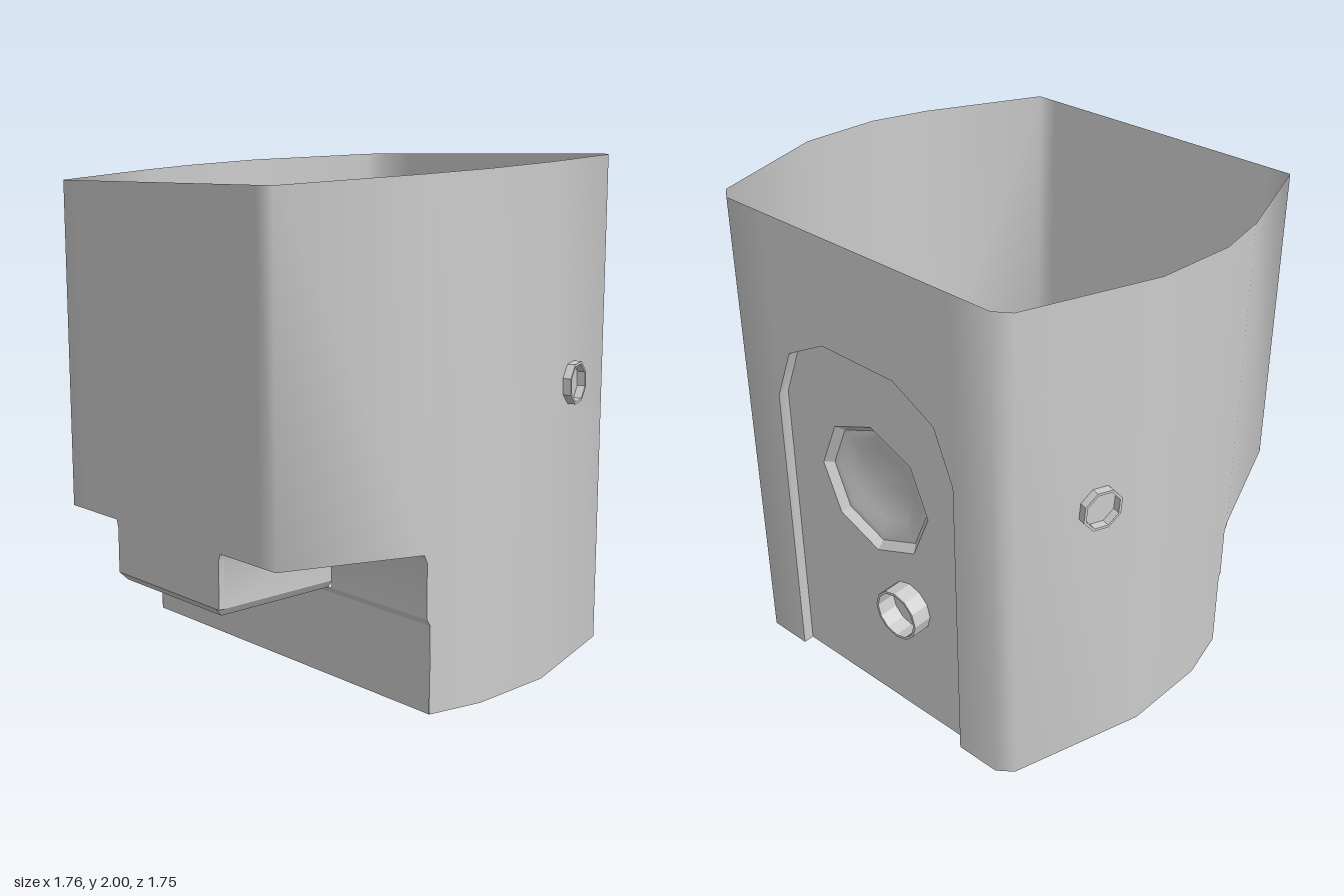
import * as THREE from 'three';
import { toCreasedNormals } from 'three/addons/utils/BufferGeometryUtils.js';

const mat = new THREE.MeshStandardMaterial({ color: 0xcccccc, side: THREE.DoubleSide });

function mesh(name, geometry) {
  const m = new THREE.Mesh(geometry, mat);
  m.name = name;
  return m;
}

// Thin sheet stretched between rows of points, all rows the same length
function sheet(rows, crease = 0.5) {
  const pos = [];
  for (let r = 0; r + 1 < rows.length; r++) {
    for (let i = 0; i + 1 < rows[r].length; i++) {
      const a = rows[r][i], b = rows[r][i + 1], c = rows[r + 1][i + 1], d = rows[r + 1][i];
      pos.push(...a, ...b, ...c, ...a, ...c, ...d);
    }
  }
  const g = new THREE.BufferGeometry();
  g.setAttribute('position', new THREE.Float32BufferAttribute(pos, 3));
  return toCreasedNormals(g, crease);
}

// Flat panel from 2D points
function panel(points, holes = []) {
  const s = new THREE.Shape(points.map(p => new THREE.Vector2(...p)));
  for (const [x, y, r, n] of holes) {
    const pts = [];
    for (let i = 0; i < n; i++) {
      const a = -i / n * Math.PI * 2;
      pts.push(new THREE.Vector2(x + r * Math.cos(a), y + r * Math.sin(a)));
    }
    s.holes.push(new THREE.Path(pts));
  }
  return new THREE.ShapeGeometry(s);
}

// Turned part whose axis points along dir; the profile is [radius, distance along axis]
function turned(name, profile, segments, position, dir) {
  const g = toCreasedNormals(
    new THREE.LatheGeometry(profile.map(p => new THREE.Vector2(...p)), segments), 0.5);
  const m = mesh(name, g);
  m.position.set(...position);
  m.quaternion.setFromUnitVectors(new THREE.Vector3(0, 1, 0), new THREE.Vector3(...dir).normalize());
  return m;
}

const mirrorRow = half => [...half, ...half.slice(0, -1).reverse().map(([x, ...rest]) => [-x, ...rest])];
const topY = z => z > -0.2 ? 1.9 + 0.07 * (0.875 - z) / 1.075 : 1.97 + 0.03 * (-0.2 - z) / 0.645;

const FRONT = 0.875, BACK = -0.845, PLATE = -0.8;
const ARCH = [[0.455, 0], [0.455, 1.24], [0.37, 1.455], [0.18, 1.56], [0, 1.56]];

export function createModel() {
  const model = new THREE.Group();

  // Outer wall: columns [x, z, bottom y] from front centre round to back centre
  const half = [
    [0, FRONT, 0.39], [0.32, FRONT, 0.39], [0.32, FRONT, 0.57], [0.33, FRONT, 0.6],
    [0.55, FRONT, 0.6], [0.64, FRONT, 0.6],
    [0.828, 0.35, 0.6], [0.83, 0.335, 0.57], [0.83, 0.335, 0.36], [0.833, 0.32, 0.335], [0.833, 0.32, 0],
    [0.88, 0.1, 0], [0.87, -0.26, 0], [0.7, -0.8, 0], [0.64, BACK, 0],
    ...ARCH.map(([x, y]) => [x, BACK, y]),
  ];
  const loop = mirrorRow(half.slice().reverse());
  const top = loop.map(([x, z]) => [x, topY(z), z]);
  const bottom = loop.map(([x, z, y]) => [x, y, z]);
  model.add(mesh('outerWall', sheet([bottom, top], 1.3)));

  // Base floor, notched for the back recess
  const base = [[0.833, 0.32], [0.88, 0.1], [0.87, -0.26], [0.7, -0.8], [0.64, BACK], [0.455, BACK], [0.455, PLATE]];
  const floor = panel([...base, ...base.slice().reverse().map(([x, z]) => [-x, z])]);
  model.add(mesh('baseFloor', floor.rotateX(Math.PI / 2)));

  // Lower front wall with its bevelled top
  model.add(mesh('lowerFrontWall', sheet([[0, 0.32], [0.335, 0.32], [0.36, 0.335]].map(
    ([y, z]) => [[-0.832, y, z], [0.832, y, z]]))));

  // Channel between the two steps, bevelled along its lower edges
  const section = mirrorRow([[0.33, 0.6], [0.32, 0.57], [0.32, 0.39], [0.3, 0.36], [0, 0.36]]);
  const channelRow = z => section.map(([x, y]) => [x, y, z]);
  model.add(mesh('channel', sheet([channelRow(0.335), channelRow(0.85)])));
  const rim = section.map(([x, y]) => [x, Math.max(y, 0.39), FRONT]);
  model.add(mesh('channelFrontBevel', sheet([channelRow(0.85), rim])));

  for (const side of [1, -1]) {
    const g = new THREE.Group();
    g.name = side > 0 ? 'leftSideParts' : 'rightSideParts';
    g.scale.x = side;

    // Step floor and the riser behind it
    const step = mesh('stepFloor', panel(
      [[0.33, 0.35], [0.828, 0.35], [0.64, FRONT], [0.33, FRONT]], [[0.53, 0.655, 0.07, 8]])
      .rotateX(Math.PI / 2));
    step.position.y = 0.6;
    g.add(step);
    g.add(mesh('stepRiser', sheet([[0.36, 0.335], [0.57, 0.335], [0.6, 0.35]].map(
      ([y, z]) => [[0.32, y, z], [0.83, y, z]]))));

    // Ports at both ends of the hose
    g.add(turned('lowerPort',
      [[0, 0.02], [0.06, 0.02], [0.06, -0.025], [0.075, -0.025], [0.075, 0.005], [0, 0.005]],
      8, [0.53, 0.6, 0.655], [0, 1, 0]));
    g.add(turned('sidePort',
      [[0, 0], [0.074, 0], [0.074, 0.045], [0.085, 0.045], [0.085, -0.045], [0.07, -0.045], [0.07, -0.01], [0, -0.01]],
      8, [0.79, 1.13, -0.47], [0.954, 0, -0.3]));

    // Hose sagging from the side port to the lower port
    const path = [
      [0.79, 1.13, -0.47], [0.72, 1.13, -0.455], [0.59, 1.12, -0.525], [0.5, 1.08, -0.47],
      [0.42, 1.0, -0.33], [0.42, 0.93, -0.21], [0.48, 0.86, -0.08], [0.54, 0.81, 0.05],
      [0.59, 0.77, 0.25], [0.605, 0.74, 0.45], [0.575, 0.69, 0.58], [0.54, 0.6, 0.655],
    ].map(p => new THREE.Vector3(...p));
    g.add(mesh('hose', new THREE.TubeGeometry(new THREE.CatmullRomCurve3(path), 24, 0.03, 8)));
    model.add(g);
  }

  // Arched recess in the back
  const arch = mirrorRow(ARCH);
  model.add(mesh('recessRim', sheet([BACK, PLATE].map(z => arch.map(([x, y]) => [x, y, z])))));
  const plate = mesh('recessPlate', panel(arch, [[0, 0.99, 0.28, 8], [-0.165, 0.525, 0.105, 12]]));
  plate.position.z = PLATE;
  model.add(plate);

  // Stepped octagonal socket; its axis runs into the model
  const socket = turned('octagonSocket',
    [[0.28, 0], [0.25, 0.03], [0.22, 0.03], [0.16, 0.05], [0, 0.05]],
    8, [0, 0.99, PLATE], [0, 0, 1]);
  model.add(socket);

  // Valve: open cup outside, cone, stem and handle inside
  const valve = new THREE.Group();
  valve.name = 'valve';
  valve.position.set(-0.165, 0.525, 0);
  valve.add(turned('valveCup',
    [[0, -0.8], [0.095, -0.8], [0.095, -0.88], [0.105, -0.88], [0.105, -0.75], [0.05, -0.7], [0, -0.7]],
    12, [0, 0, 0], [0, 0, 1]));
  const stemPath = new THREE.CatmullRomCurve3([
    new THREE.Vector3(0, 0, -0.71), new THREE.Vector3(0, 0, -0.67),
    new THREE.Vector3(0.005, -0.02, -0.655), new THREE.Vector3(0.005, -0.07, -0.65)]);
  valve.add(mesh('valveStem', new THREE.TubeGeometry(stemPath, 8, 0.027, 8)));
  const wheel = mesh('valveWheel', new THREE.TorusGeometry(0.1, 0.01, 6, 16));
  wheel.position.set(0.02, 0, -0.645);
  valve.add(wheel);
  const spoke = mesh('valveWheelSpoke', new THREE.BoxGeometry(0.2, 0.02, 0.016));
  spoke.position.copy(wheel.position);
  valve.add(spoke);
  model.add(valve);

  return model;
}
